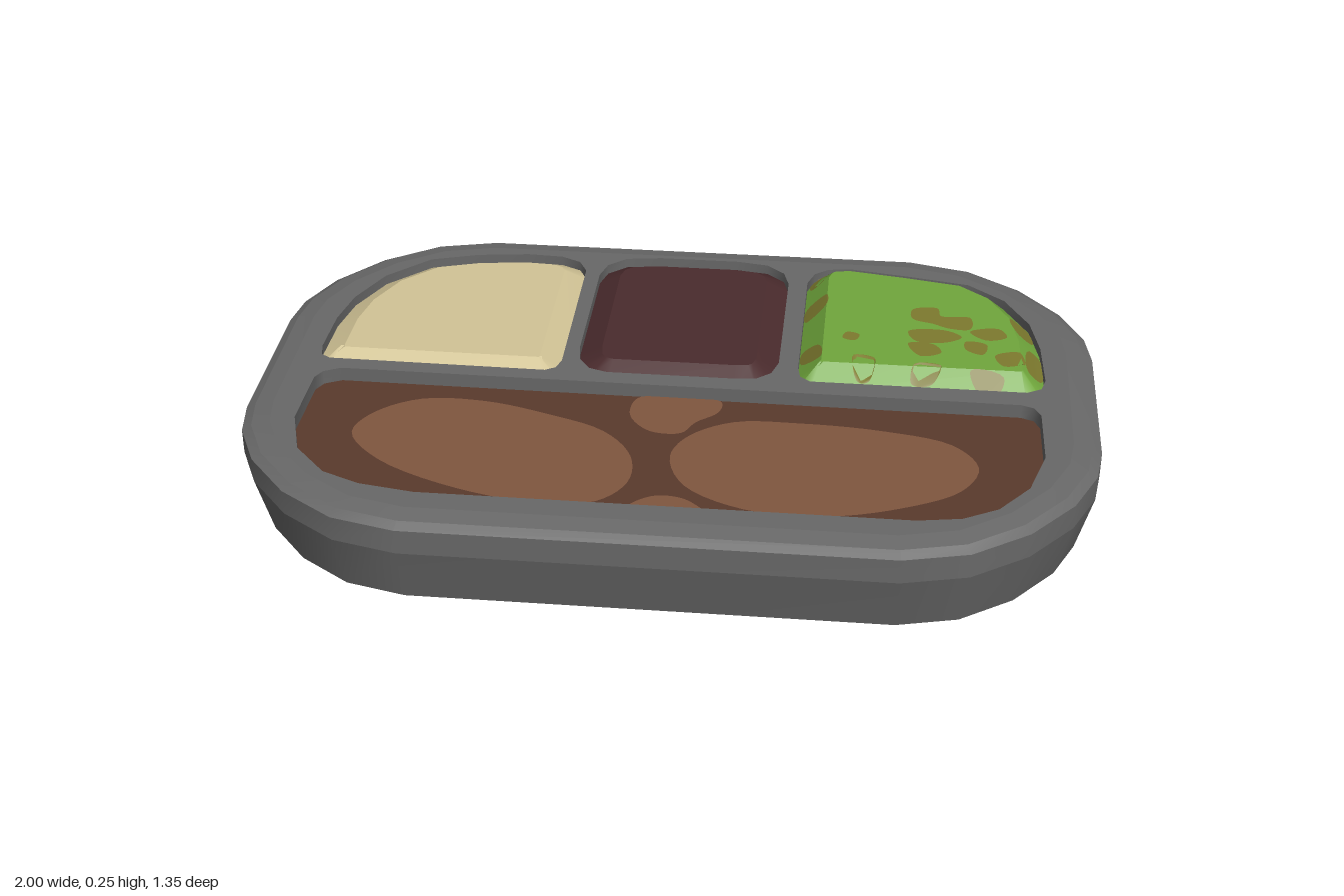
import * as THREE from 'three';

const mat = (name, color, side = THREE.FrontSide) => {
  const m = new THREE.MeshStandardMaterial({ color, side });
  m.name = name;
  return m;
};
const P = (list) => {
  const pts = list.map(([x, z]) => new THREE.Vector2(x, z));
  return THREE.ShapeUtils.area(pts) < 0 ? pts.reverse() : pts;
};

// Moves a plan outline (x, z) inwards by a distance
function inset(pts, d) {
  const n = pts.length;
  return pts.map((p, i) => {
    const e1 = p.clone().sub(pts[(i + n - 1) % n]).normalize();
    const e2 = pts[(i + 1) % n].clone().sub(p).normalize();
    const n1 = new THREE.Vector2(-e1.y, e1.x), n2 = new THREE.Vector2(-e2.y, e2.x);
    const k = d / (1 + n1.dot(n2));
    return p.clone().addScaledVector(n1, k).addScaledVector(n2, k);
  });
}

// Skin between two rings of one outline, each given as [inset, y]
function band(pts, [d0, y0], [d1, y1]) {
  const pos = [], idx = [], n = pts.length;
  inset(pts, d0).forEach((p) => pos.push(p.x, y0, p.y));
  inset(pts, d1).forEach((p) => pos.push(p.x, y1, p.y));
  for (let i = 0; i < n; i++) {
    const j = (i + 1) % n;
    idx.push(i, n + i, j, j, n + i, n + j);
  }
  const g = new THREE.BufferGeometry();
  g.setAttribute('position', new THREE.Float32BufferAttribute(pos, 3));
  g.setIndex(idx);
  g.computeVertexNormals();
  return g;
}

// Flat face looking up, with optional holes
function face(pts, y, holes = []) {
  const flip = (a) => a.map((p) => new THREE.Vector2(p.x, -p.y));
  const s = new THREE.Shape(flip(pts));
  holes.forEach((h) => s.holes.push(new THREE.Path(flip(h))));
  return new THREE.ShapeGeometry(s).rotateX(-Math.PI / 2).translate(0, y, 0);
}

// Smooth closed outline through a few points
function blob(list) {
  const c = new THREE.CatmullRomCurve3(list.map(([x, z]) => new THREE.Vector3(x, 0, z)), true);
  return P(c.getPoints(list.length * 5).slice(0, -1).map((v) => [v.x, v.z]));
}

// Distance from a point to the nearest edge of an outline
function edgeDistance(pts, x, z) {
  const q = new THREE.Vector3(x, z, 0), near = new THREE.Vector3();
  return Math.min(...pts.map((p, i) => {
    const b = pts[(i + 1) % pts.length];
    new THREE.Line3(new THREE.Vector3(p.x, p.y, 0), new THREE.Vector3(b.x, b.y, 0)).closestPointToPoint(q, true, near);
    return near.distanceTo(q);
  }));
}

export function createModel() {
  const root = new THREE.Group();
  root.name = 'mealTray';
  const gray = mat('trayGray', 0x686868);
  const cream = mat('cream', 0xd2c496);
  const maroon = mat('maroon', 0x4a2b2d);
  const green = mat('green', 0x70a73c);
  const olive = mat('olive', 0x7d7a2e, THREE.DoubleSide);
  const sauceBrown = mat('sauceBrown', 0x5a3a2c);
  const meatBrown = mat('meatBrown', 0x80563f);
  const add = (parent, name, geo, m) => {
    const mesh = new THREE.Mesh(geo, m);
    mesh.name = name;
    parent.add(mesh);
  };

  // Tray plan: one quarter mirrored to four
  const q = [[1, 0.21], [0.985, 0.31], [0.93, 0.43], [0.83, 0.55], [0.7, 0.64], [0.55, 0.677]];
  const r = [...q].reverse();
  const plan = P([...q, ...r.map(([x, z]) => [-x, z]), ...q.map(([x, z]) => [-x, -z]), ...r.map(([x, z]) => [x, -z])]);

  // Compartment plans
  const wells = {
    mash: P([[-0.32, 0], [-0.85, -0.005], [-0.872, -0.02], [-0.88, -0.06], [-0.876, -0.2], [-0.855, -0.31], [-0.8, -0.43],
      [-0.7, -0.53], [-0.58, -0.568], [-0.45, -0.585], [-0.36, -0.58], [-0.31, -0.555], [-0.288, -0.51], [-0.285, -0.05], [-0.295, -0.015]]),
    dessert: P([[-0.17, -0.005], [-0.215, -0.02], [-0.242, -0.06], [-0.25, -0.12], [-0.25, -0.49], [-0.235, -0.545], [-0.19, -0.585],
      [-0.1, -0.598], [0.1, -0.598], [0.18, -0.585], [0.225, -0.545], [0.24, -0.49], [0.24, -0.09], [0.225, -0.04], [0.19, -0.01], [0.14, -0.005]]),
    vegetables: P([[0.32, -0.01], [0.295, -0.03], [0.288, -0.07], [0.288, -0.5], [0.305, -0.55], [0.34, -0.578], [0.4, -0.585],
      [0.55, -0.56], [0.7, -0.53], [0.79, -0.455], [0.85, -0.34], [0.873, -0.22], [0.88, -0.07], [0.87, -0.03], [0.835, -0.01]]),
    meat: P([[-0.865, 0.09], [-0.85, 0.06], [-0.81, 0.04], [0.82, 0.048], [0.85, 0.06], [0.865, 0.09], [0.868, 0.27], [0.83, 0.4],
      [0.76, 0.49], [0.68, 0.535], [0.58, 0.552], [-0.53, 0.552], [-0.66, 0.53], [-0.75, 0.49], [-0.83, 0.4], [-0.868, 0.27]]),
  };

  // Tray shell
  const tray = new THREE.Group();
  tray.name = 'tray';
  root.add(tray);
  const rings = [[0.037, 0], [0, 0.14], [0, 0.2], [0.022, 0.212], [0.065, 0.22]];
  for (let i = 0; i < rings.length - 1; i++) add(tray, 'traySide', band(plan, rings[i], rings[i + 1]), gray);
  add(tray, 'trayRim', face(inset(plan, 0.065), 0.22, Object.values(wells)), gray);
  add(tray, 'trayBase', new THREE.ShapeGeometry(new THREE.Shape(inset(plan, 0.037))).rotateX(Math.PI / 2), gray);
  for (const w of Object.values(wells)) add(tray, 'wellWall', band(w, [0, 0.22], [0, 0.18]), gray);

  // Raised fillings: sloped border and level top
  const edgeY = 0.195, slope = 0.055;
  for (const [name, m, top] of [['mash', cream, 0.225], ['dessert', maroon, 0.225], ['vegetables', green, 0.245]]) {
    const w = wells[name], g = new THREE.Group();
    g.name = name;
    root.add(g);
    add(g, name + 'Border', band(w, [0, edgeY], [slope, top]), m);
    add(g, name + 'Top', face(inset(w, slope), top), m);
  }

  // Meat slices in sauce
  const meatY = 0.185;
  add(root, 'sauce', face(wells.meat, meatY), sauceBrown);
  const slices = [
    [[-0.735, 0.27], [-0.7, 0.18], [-0.6, 0.11], [-0.45, 0.105], [-0.3, 0.145], [-0.15, 0.21], [-0.075, 0.31], [-0.07, 0.42], [-0.13, 0.5], [-0.25, 0.52], [-0.45, 0.48], [-0.65, 0.38]],
    [[0.015, 0.3], [0.05, 0.21], [0.15, 0.14], [0.3, 0.13], [0.5, 0.145], [0.66, 0.19], [0.72, 0.28], [0.68, 0.38], [0.55, 0.46], [0.38, 0.51], [0.2, 0.5], [0.06, 0.42]],
    [[-0.08, 0.048], [0.11, 0.049], [0.11, 0.1], [0.06, 0.15], [0.03, 0.2], [-0.04, 0.2], [-0.09, 0.15], [-0.1, 0.1]],
    [[-0.07, 0.545], [-0.05, 0.5], [0, 0.465], [0.06, 0.47], [0.11, 0.51], [0.14, 0.545], [0.04, 0.552]],
  ];
  slices.forEach((s) => add(root, 'meatSlice', face(blob(s), meatY + 0.003), meatBrown));

  // Olive flecks draped over the vegetables
  const flecks = [
    [[0.56, -0.34], [0.62, -0.35], [0.63, -0.31], [0.7, -0.31], [0.7, -0.25], [0.65, -0.25], [0.61, -0.27], [0.56, -0.29]],
    [[0.55, -0.23], [0.64, -0.24], [0.68, -0.21], [0.64, -0.18], [0.57, -0.18]],
    [[0.7, -0.24], [0.77, -0.26], [0.79, -0.22], [0.74, -0.2]],
    [[0.69, -0.19], [0.74, -0.18], [0.73, -0.13], [0.69, -0.15]],
    [[0.55, -0.17], [0.61, -0.17], [0.63, -0.13], [0.58, -0.11]],
    [[0.76, -0.13], [0.82, -0.15], [0.83, -0.1], [0.78, -0.08]],
    [[0.8, -0.32], [0.845, -0.33], [0.855, -0.26], [0.82, -0.25]],
    [[0.845, -0.2], [0.87, -0.2], [0.87, -0.08], [0.84, -0.08]],
    [[0.57, -0.075], [0.63, -0.07], [0.61, -0.03], [0.56, -0.03]],
    [[0.7, -0.06], [0.78, -0.05], [0.77, -0.02], [0.72, -0.02]],
    [[0.42, -0.1], [0.47, -0.09], [0.46, -0.03], [0.43, -0.03]],
    [[0.295, -0.39], [0.34, -0.4], [0.34, -0.34], [0.295, -0.32]],
    [[0.295, -0.17], [0.33, -0.16], [0.34, -0.09], [0.295, -0.11]],
    [[0.4, -0.21], [0.43, -0.2], [0.42, -0.17], [0.39, -0.18]],
    [[0.3, -0.53], [0.34, -0.54], [0.33, -0.49], [0.3, -0.48]],
  ];
  flecks.forEach((f) => {
    const g = face(blob(f), 0), a = g.attributes.position;
    for (let i = 0; i < a.count; i++) {
      const t = Math.min(1, edgeDistance(wells.vegetables, a.getX(i), a.getZ(i)) / slope);
      a.setY(i, edgeY + (0.245 - edgeY) * t + 0.003);
    }
    g.computeVertexNormals();
    add(root, 'vegetableFleck', g, olive);
  });
  return root;
}
